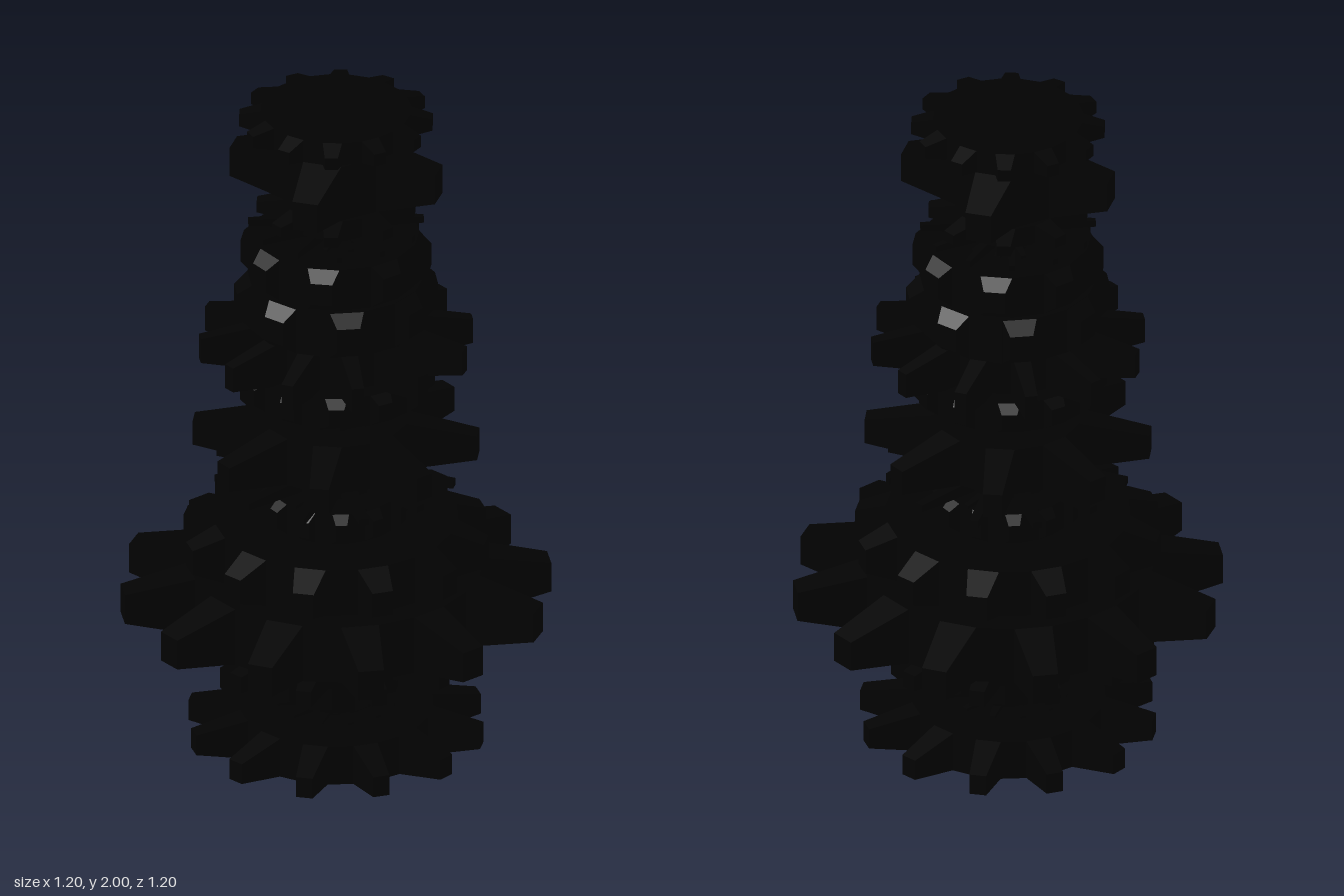
import * as THREE from 'three';
import { mergeGeometries } from 'three/addons/utils/BufferGeometryUtils.js';

// One gear: a disc with twice as many sides as teeth, every second side drawn out into a tapered tooth
function gearGeometry(height, rootRadius, tipRadius, teeth) {
  const half = Math.PI / (teeth * 2);
  const body = new THREE.CylinderGeometry(rootRadius, rootRadius, height, teeth * 2);
  body.rotateY(half);
  const parts = [body];
  const inner = rootRadius * Math.cos(half) - 0.002;
  const width = 2 * rootRadius * Math.sin(half);
  for (let i = 0; i < teeth; i++) {
    const tooth = new THREE.BoxGeometry(tipRadius - inner, height, width);
    tooth.translate((tipRadius + inner) / 2, 0, 0);
    const p = tooth.attributes.position;
    for (let v = 0; v < p.count; v++) {
      if (p.getX(v) > (tipRadius + inner) / 2) {
        p.setY(v, p.getY(v) * 0.52);
        p.setZ(v, p.getZ(v) * 0.67);
      }
    }
    tooth.rotateY((i / teeth) * Math.PI * 2);
    parts.push(tooth);
  }
  const geometry = mergeGeometries(parts);
  geometry.computeVertexNormals();
  return geometry;
}

export function createModel() {
  const group = new THREE.Group();
  const material = new THREE.MeshStandardMaterial({ color: 0x020202, flatShading: true });

  // bottom, top, root radius, tip radius, turn in degrees, teeth (12 unless given)
  const gears = [
    [0.00, 0.12, 0.275, 0.42, 8.5],
    [0.13, 0.145, 0.10, 0.172, 12],
    [0.15, 0.29, 0.13, 0.176, 20, 8],
    [0.29, 0.385, 0.25, 0.415, 9],
    [0.395, 0.57, 0.415, 0.608, 16.8],
    [0.57, 0.715, 0.345, 0.433, 8.5],
    [0.715, 0.81, 0.185, 0.212, 22],
    [0.813, 0.83, 0.10, 0.20, 3],
    [0.845, 0.885, 0.15, 0.348, 13],
    [0.89, 1.035, 0.21, 0.403, 18, 8],
    [1.035, 1.115, 0.105, 0.147, 18],
    [1.115, 1.21, 0.25, 0.278, 26],
    [1.20, 1.345, 0.20, 0.388, 17],
    [1.34, 1.48, 0.25, 0.285, 4, 8],
    [1.48, 1.61, 0.235, 0.267, 20, 8],
    [1.613, 1.63, 0.09, 0.145, 9],
    [1.63, 1.665, 0.10, 0.247, 24],
    [1.66, 1.72, 0.15, 0.223, 15, 8],
    [1.72, 1.89, 0.146, 0.302, -17, 4],
    [1.89, 1.93, 0.10, 0.148, 21],
    [1.93, 2.00, 0.212, 0.272, 29],
  ];
  gears.forEach(([bottom, top, root, tip, turn, teeth = 12], i) => {
    const mesh = new THREE.Mesh(gearGeometry(top - bottom, root, tip, teeth), material);
    mesh.name = 'gear' + (i + 1);
    mesh.position.y = (bottom + top) / 2;
    mesh.rotation.y = -THREE.MathUtils.degToRad(turn);
    group.add(mesh);
  });

  // Axle running through the whole stack
  const axle = new THREE.Mesh(new THREE.CylinderGeometry(0.08, 0.08, 1.96, 24), material);
  axle.name = 'axle';
  axle.position.y = 1;
  group.add(axle);

  return group;
}
